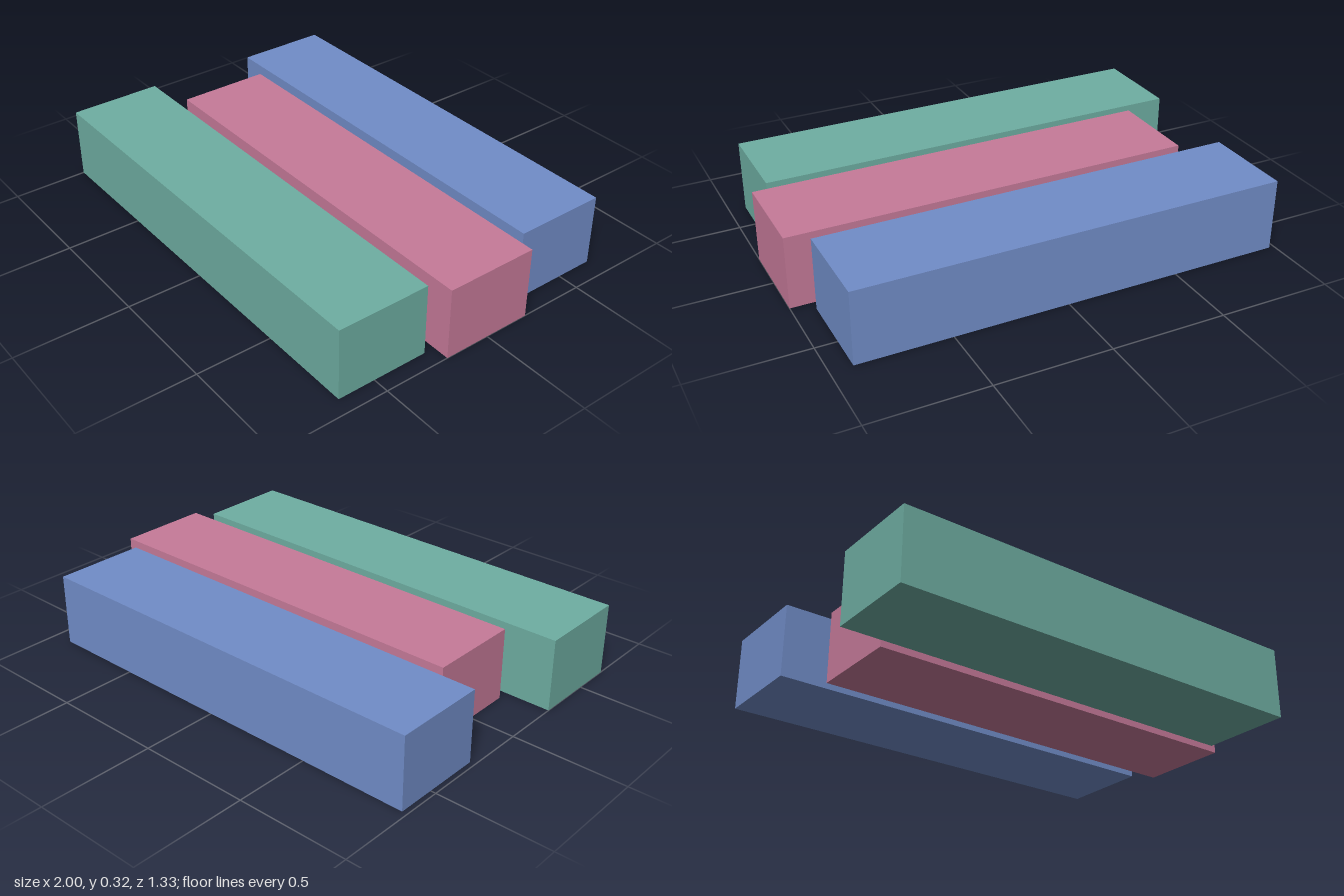
import * as THREE from 'three';

const HEIGHT = 0.32;
const DEPTH = 0.412;

// Three parallel bars lying on the ground, each with its own x extent
const BARS = [
  { name: 'frontBar', colorName: 'green', color: 0x6eaea2, x0: -1, x1: 0.926, z: 0.461 },
  { name: 'middleBar', colorName: 'pink', color: 0xc67a99, x0: -0.797, x1: 1, z: 0 },
  { name: 'backBar', colorName: 'blue', color: 0x718dc8, x0: -0.977, x1: 0.906, z: -0.461 },
];

export function createModel() {
  const model = new THREE.Group();
  model.name = 'bars';
  for (const { name, colorName, color, x0, x1, z } of BARS) {
    const material = new THREE.MeshStandardMaterial({ color });
    material.name = colorName;
    const bar = new THREE.Mesh(new THREE.BoxGeometry(x1 - x0, HEIGHT, DEPTH), material);
    bar.name = name;
    bar.position.set((x0 + x1) / 2, HEIGHT / 2, z);
    model.add(bar);
  }
  return model;
}
